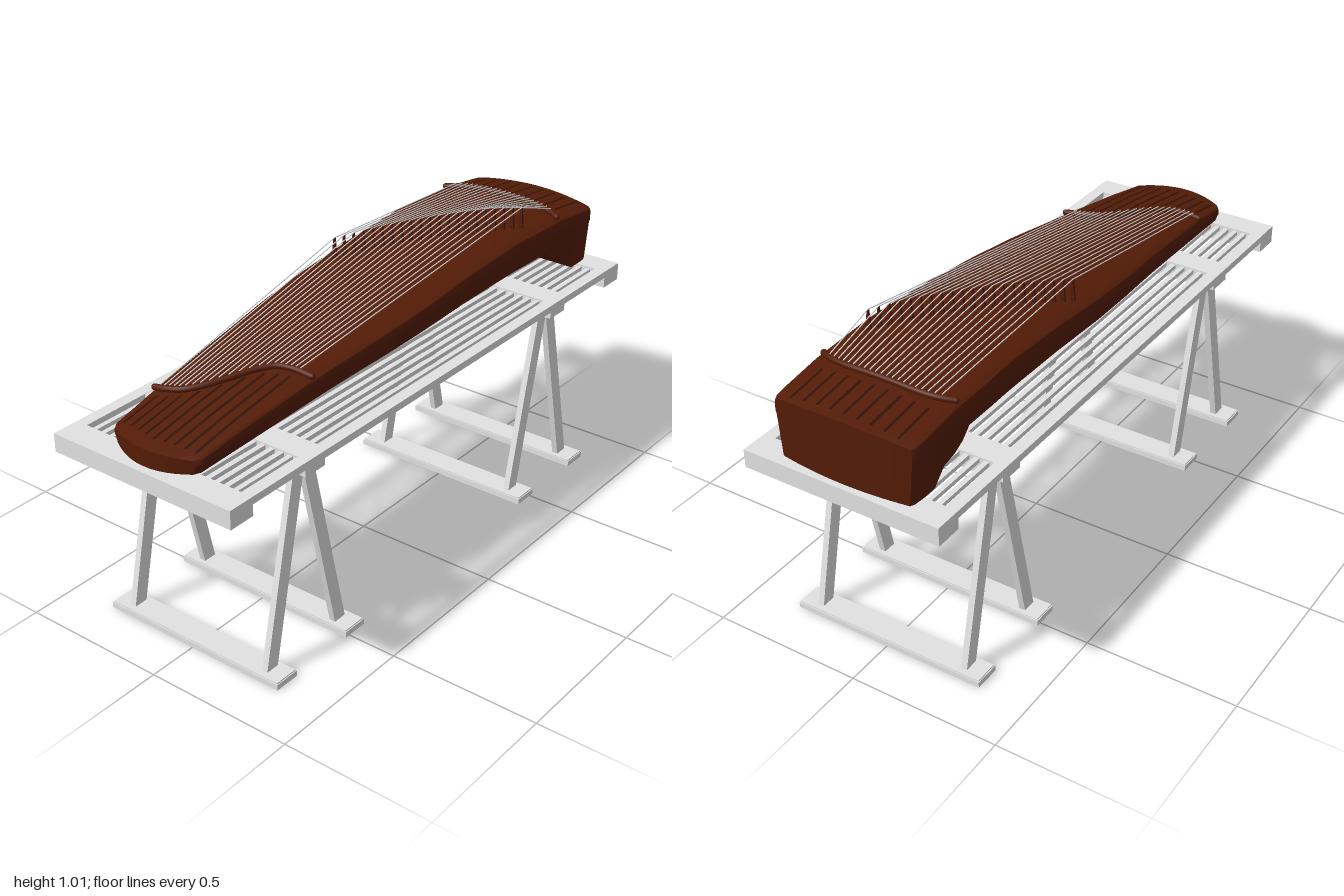
import * as THREE from 'three';
import { toCreasedNormals } from 'three/addons/utils/BufferGeometryUtils.js';

const material = (name, color, side = THREE.FrontSide) => {
  const m = new THREE.MeshStandardMaterial({ color, side });
  m.name = name;
  return m;
};
const lerp = THREE.MathUtils.lerp;

// piecewise linear lookup, keys given in descending z
const lookup = (table) => (z) => {
  if (z >= table[0][0]) return table[0][1];
  for (let i = 1; i < table.length; i++) {
    const [z0, v0] = table[i - 1], [z1, v1] = table[i];
    if (z >= z1) return lerp(v0, v1, (z0 - z) / (z0 - z1));
  }
  return table[table.length - 1][1];
};
const crest = lookup([[1, 0.752], [0.75, 0.798], [0.5, 0.835], [0.25, 0.866], [0, 0.893],
  [-0.25, 0.92], [-0.5, 0.937], [-0.77, 0.93], [-1, 0.903]]);
const underside = lookup([[1, 0.698], [0.75, 0.722], [0.5, 0.748], [0.25, 0.772], [0, 0.79],
  [-0.25, 0.805], [-0.5, 0.812], [-0.7, 0.81], [-0.73, 0.778], [-0.77, 0.757], [-0.82, 0.745],
  [-0.845, 0.72], [-0.865, 0.698], [-1, 0.698]]);
const halfWidth = lookup([[0.935, 0.152], [0.915, 0.165], [0.8, 0.173], [0.4, 0.205], [0.2, 0.225],
  [0, 0.237], [-0.6, 0.243], [-0.92, 0.24], [-0.95, 0.237], [-0.965, 0.23]]);
const bulge = lookup([[0.935, 0.045], [0.7, 0], [-0.85, 0], [-0.965, -0.018]]);
const crown = (z) => lerp(0.021, 0.014, (z + 1) / 2);
const topY = (x, z) => crest(z) - crown(z) * Math.min(1, (x / halfWidth(z)) ** 2);

// hollow-arched sound box, lofted along z
function bodyGeometry() {
  const fs = [1, 1, 0.985];
  for (let k = 0; k <= 14; k++) fs.push(0.95 - (1.9 * k) / 14);
  fs.push(-0.985, -1, -1);
  const M = fs.length;
  const zs = [0.935, 0.925, 0.915];
  for (let k = 0; k <= 34; k++) zs.push(0.9 - k * 0.047);
  zs.push(-0.73, -0.77, -0.82, -0.845, -0.865, -0.92, -0.95, -0.965);
  zs.sort((a, b) => b - a);

  const rows = zs.map((z0) => {
    const w = halfWidth(z0), b = bulge(z0);
    const at = (f) => z0 + b * (1 - f * f);
    const seam = (z) => crest(z) - crown(z) - lerp(0.045, 0.02, (z + 1) / 2);
    const upper = fs.map((f, k) => {
      const z = at(f), edge = Math.min(k, M - 1 - k);
      let y = crest(z) - crown(z) * f * f;
      if (edge === 0) y = seam(z);
      if (edge === 1) y -= 0.014;
      if (edge === 2) y -= 0.004;
      return [f * w, y, z];
    });
    const lower = fs.map((f, k) => {
      const z = at(f);
      return k === 0 || k === M - 1
        ? [f * w * 0.98, seam(z) - 0.004, z]
        : [f * w * 0.94, underside(z), z];
    }).reverse();
    return [...upper, ...lower];
  });

  const pos = [];
  const quad = (a, b, c, d) => pos.push(...a, ...b, ...c, ...a, ...c, ...d);
  const n = 2 * M;
  for (let i = 0; i < rows.length - 1; i++) {
    for (let j = 0; j < n; j++) {
      const k = (j + 1) % n;
      quad(rows[i][j], rows[i + 1][j], rows[i + 1][k], rows[i][k]);
    }
  }
  const first = rows[0], last = rows[rows.length - 1];
  for (let k = 0; k < M - 1; k++) {
    quad(first[k], first[k + 1], first[n - 2 - k], first[n - 1 - k]);
    quad(last[k + 1], last[k], last[n - 1 - k], last[n - 2 - k]);
  }
  const g = new THREE.BufferGeometry();
  g.setAttribute('position', new THREE.Float32BufferAttribute(pos, 3));
  g.computeVertexNormals();
  return toCreasedNormals(g, 0.5);
}

export function createModel() {
  const wood = material('dark red wood', 0x541c07);
  const groove = material('groove brown', 0x321105, THREE.DoubleSide);
  const wire = material('string silver', 0xdde2e6);
  const metal = material('stand light grey', 0xe2e2e2);

  const model = new THREE.Group();
  const group = (name) => {
    const g = new THREE.Group();
    g.name = name;
    model.add(g);
    return g;
  };
  const add = (parent, name, geometry, mat) => {
    const mesh = new THREE.Mesh(geometry, mat);
    mesh.name = name;
    parent.add(mesh);
    return mesh;
  };

  // stand
  const stand = group('stand');
  const box = (name, sx, sy, sz, x, y, z) => {
    const m = add(stand, name, new THREE.BoxGeometry(sx, sy, sz), metal);
    m.position.set(x, y, z);
    return m;
  };
  for (const s of [1, -1]) {
    box('sideRail', 0.04, 0.024, 1.84, s * 0.313, 0.683, 0);
    box('endBeam', 0.666, 0.06, 0.09, 0, 0.665, s * 0.955);
    box('crossBeam', 0.64, 0.058, 0.086, 0, 0.665, s * 0.632);
    for (const d of [1, -1]) {
      const z0 = s * 0.632 + d * 0.017, z1 = s * 0.632 + d * 0.159;
      const angle = Math.atan2(z0 - z1, 0.64);
      for (const x of [0.266, -0.266]) {
        const leg = box('leg', 0.021, Math.hypot(z0 - z1, 0.64), 0.046, x, 0.335, (z0 + z1) / 2);
        leg.rotation.x = angle;
      }
      box('foot', 0.666, 0.019, 0.088, 0, 0.0095, z1);
      box('footCap', 0.66, 0.004, 0.082, 0, 0.021, z1);
    }
  }
  for (let i = 0; i < 17; i++) box('slat', 0.016, 0.014, 1.84, (i - 8) * 0.0335, 0.682, 0);

  // instrument body with decorative grooves at both ends
  const instrument = group('zither');
  add(instrument, 'soundBox', bodyGeometry(), wood);
  const strip = (x, z0, z1) => {
    const g = new THREE.PlaneGeometry(0.009, z1 - z0, 1, 10);
    g.rotateX(-Math.PI / 2);
    g.translate(x, 0, (z0 + z1) / 2);
    const p = g.attributes.position;
    for (let i = 0; i < p.count; i++) p.setY(i, topY(p.getX(i), p.getZ(i)) + 0.002);
    g.computeVertexNormals();
    add(instrument, 'groove', g, groove);
  };

  // long bars carrying the strings
  const bar = (name, points, radius) => {
    const pts = points.map(([x, z]) => new THREE.Vector3(x, topY(x, z) + radius * 0.7, z));
    const curve = new THREE.CatmullRomCurve3(pts);
    add(instrument, name, new THREE.TubeGeometry(curve, 40, radius, 14), wood);
    for (const p of [pts[0], pts[pts.length - 1]]) {
      add(instrument, name + 'End', new THREE.SphereGeometry(radius, 14, 8), wood).position.copy(p);
    }
  };
  const tailPath = [[-0.172, 0.75], [-0.13, 0.747], [-0.08, 0.73], [-0.04, 0.69], [0, 0.625],
    [0.04, 0.55], [0.08, 0.505], [0.13, 0.488], [0.19, 0.483]];
  const tailZ = (x) => lookup(tailPath.map(([px, pz]) => [-px, pz]))(-x);
  const headZ = (x) => -0.785 + 0.037 * (x / 0.232) ** 4;
  bar('tailBar', tailPath, 0.01);
  bar('headBar', Array.from({ length: 13 }, (_, i) => (i - 6) * 0.0375).map((x) => [x, headZ(x)]), 0.01);

  for (let i = 0; i < 9; i++) {
    const x = (i - 4) * 0.034;
    strip(x, tailZ(x) + 0.03, 0.935 - Math.abs(x) * 0.15);
    strip((i - 4) * 0.045, -0.955, -0.815);
  }

  // strings, each resting on its own movable bridge
  const strings = group('strings');
  const shape = new THREE.Shape();
  [[-0.009, -0.004], [-0.003, -0.004], [0, 0.014], [0.003, -0.004], [0.009, -0.004],
    [0.002, 0.07], [-0.002, 0.07]].forEach(([x, y], i) => (i ? shape.lineTo(x, y) : shape.moveTo(x, y)));
  const bridgeGeometry = new THREE.ExtrudeGeometry(shape, { depth: 0.008, bevelEnabled: false });
  bridgeGeometry.translate(0, 0, -0.004);

  const segment = (a, b) => {
    const m = add(strings, 'string', new THREE.CylinderGeometry(0.0018, 0.0018, a.distanceTo(b), 16), wire);
    m.position.copy(a).lerp(b, 0.5);
    m.quaternion.setFromUnitVectors(new THREE.Vector3(0, 1, 0), b.clone().sub(a).normalize());
  };
  for (let i = 0; i < 21; i++) {
    const t = i / 20, s = 2 * t - 1;
    const xt = s * 0.15, xb = s * 0.186, xh = s * 0.19;
    const zb = lerp(-0.09, -0.595, t);
    const bridge = add(instrument, 'movableBridge', bridgeGeometry, wood);
    bridge.position.set(xb, topY(xb, zb), zb);
    const tail = new THREE.Vector3(xt, topY(xt, tailZ(xt)) + 0.018, tailZ(xt));
    const peak = new THREE.Vector3(xb, topY(xb, zb) + 0.071, zb);
    const head = new THREE.Vector3(xh, topY(xh, headZ(xh)) + 0.018, headZ(xh));
    segment(tail, peak);
    segment(peak, head);
  }
  return model;
}
